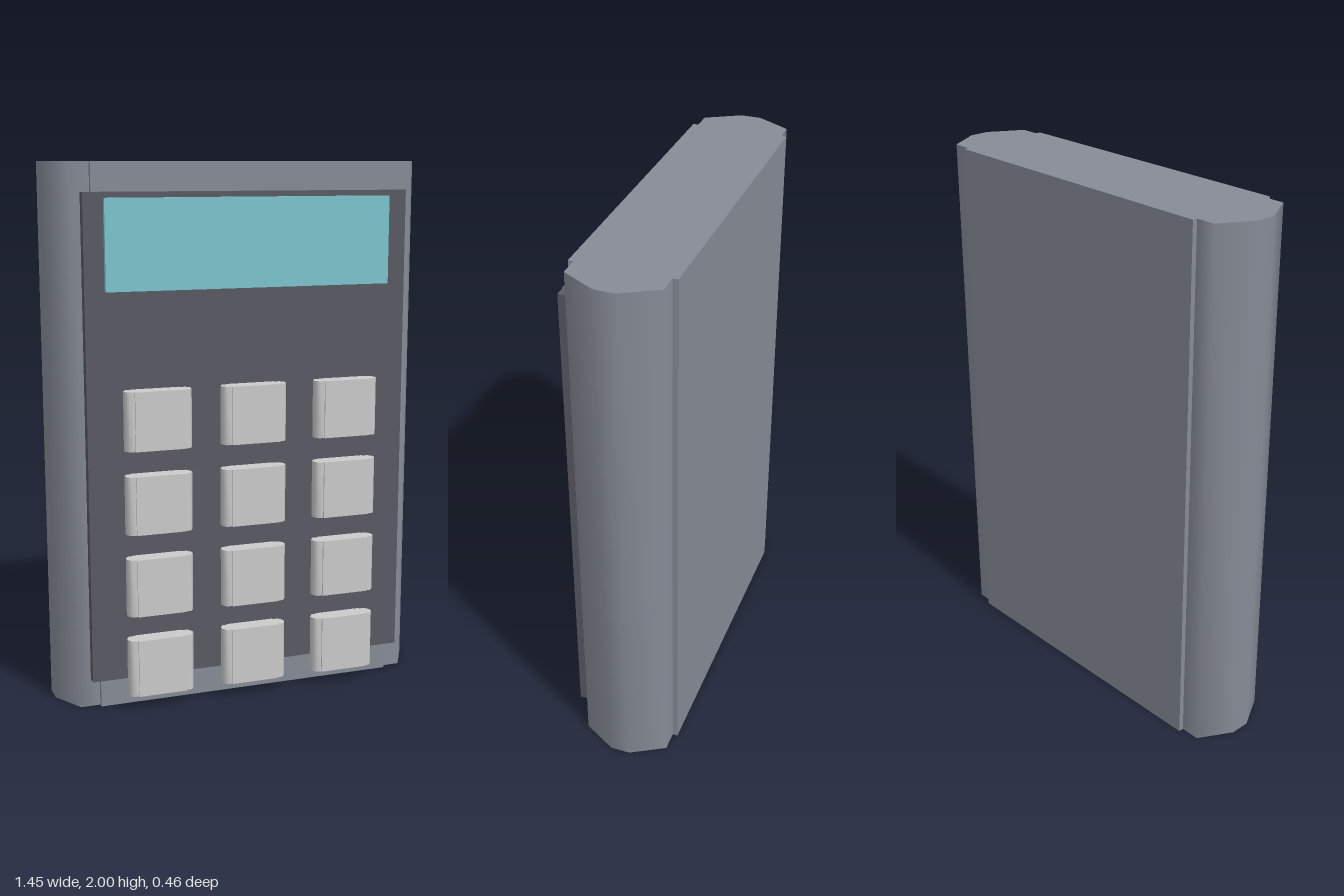
import * as THREE from 'three';
import { toCreasedNormals } from 'three/addons/utils/BufferGeometryUtils.js';

const paint = (name, color) => {
  const m = new THREE.MeshStandardMaterial({ color });
  m.name = name;
  return m;
};

// Box given by its limits on each axis
function block(name, material, x0, x1, y0, y1, z0, z1) {
  const mesh = new THREE.Mesh(new THREE.BoxGeometry(x1 - x0, y1 - y0, z1 - z0), material);
  mesh.name = name;
  mesh.position.set((x0 + x1) / 2, (y0 + y1) / 2, (z0 + z1) / 2);
  return mesh;
}

// Upright bar: flat core with a softly faceted edge on either side.
// core / shoulder / rim are half widths; depth values are half depths.
function edgedBar(name, material, height, half, depth) {
  const bar = new THREE.Group();
  bar.name = name;
  const core = block(name + 'Core', material,
    -half.core, half.core, 0, height, -depth.core, depth.core);
  bar.add(core);

  const shape = new THREE.Shape([
    [half.core, -depth.shoulder], [half.shoulder, -depth.shoulder],
    [half.rim, -depth.rim], [half.rim, depth.rim],
    [half.shoulder, depth.shoulder], [half.core, depth.shoulder],
  ].map(([x, y]) => new THREE.Vector2(x, y)));
  const extruded = new THREE.ExtrudeGeometry(shape, { depth: height, bevelEnabled: false });
  extruded.rotateX(-Math.PI / 2);
  const geometry = toCreasedNormals(extruded, 1.2);
  for (const side of ['Left', 'Right']) {
    const edge = new THREE.Mesh(geometry, material);
    edge.name = name + side + 'Edge';
    if (side === 'Right') edge.rotation.y = Math.PI;
    bar.add(edge);
  }
  return bar;
}

export function createModel() {
  const model = new THREE.Group();
  model.name = 'calculator';
  const grey = paint('case grey', 0x868b96);
  const dark = paint('panel charcoal', 0x585963);
  const teal = paint('screen teal', 0x7cc4ce);
  const pale = paint('key pale grey', 0xcacaca);

  // Case
  const body = edgedBar('case', grey, 2,
    { core: 0.582, shoulder: 0.655, rim: 0.726 },
    { core: 0.181, shoulder: 0.162, rim: 0.037 });
  body.position.z = -0.047;
  model.add(body);

  // Face plate and screen
  model.add(block('facePlate', dark, -0.618, 0.616, 0.11, 1.895, 0.124, 0.16));
  model.add(block('screen', teal, -0.545, 0.541, 1.55, 1.875, 0.15, 0.177));

  // Keypad: 3 columns, 4 rows
  const keypad = new THREE.Group();
  keypad.name = 'keypad';
  for (let row = 0; row < 4; row++) {
    for (let col = -1; col <= 1; col++) {
      const key = edgedBar('key', pale, 0.216,
        { core: 0.092, shoulder: 0.112, rim: 0.125 },
        { core: 0.034, shoulder: 0.028, rim: 0.009 });
      key.position.set(col * 0.365 - 0.002, 0.058 + row * 0.3085, 0.194);
      keypad.add(key);
    }
  }
  model.add(keypad);
  return model;
}
